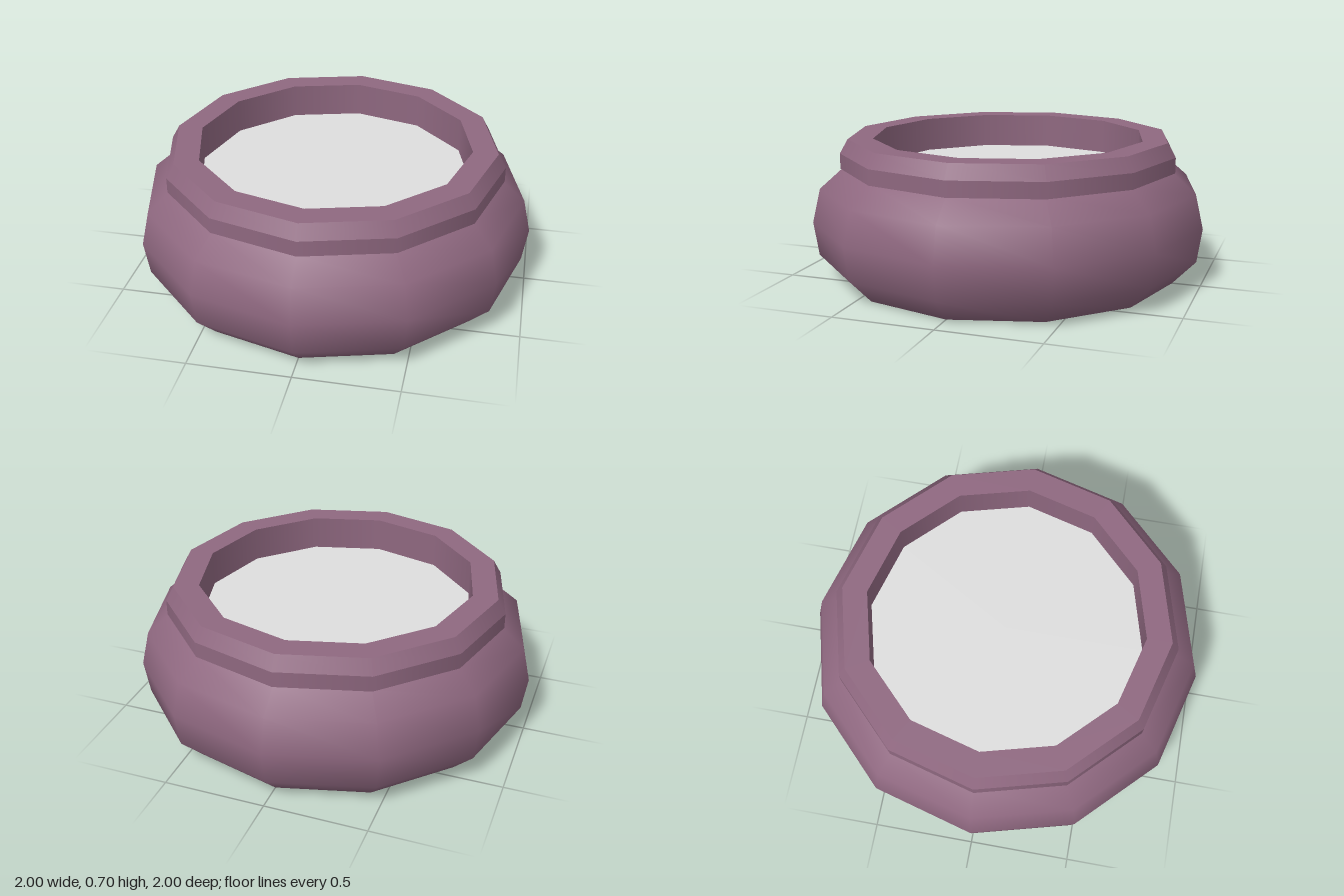
import * as THREE from 'three';

const SIDES = 12;

export function createModel() {
  const model = new THREE.Group();
  const plum = new THREE.MeshStandardMaterial({ color: 0x8f6880 });
  plum.name = 'plum';
  const paleGrey = new THREE.MeshStandardMaterial({ color: 0xdedede });
  paleGrey.name = 'pale grey';

  // One lathed surface, smooth along its whole profile of [radius, height]
  const turn = (name, material, profile, parent = model) => {
    const points = profile.map(([r, y]) => new THREE.Vector2(r, y));
    const mesh = new THREE.Mesh(new THREE.LatheGeometry(points, SIDES), material);
    mesh.name = name;
    parent.add(mesh);
  };

  // Rounded bowl with its closed base
  turn('bowl', plum, [[0, 0], [0.86, 0], [0.975, 0.12], [1, 0.29], [0.96, 0.46], [0.845, 0.56]]);

  // Collar: separate bands keep the edges between them sharp
  const collar = new THREE.Group();
  collar.name = 'collar';
  model.add(collar);
  const loop = [[0.83, 0.558], [0.855, 0.558], [0.855, 0.635], [0.815, 0.705], [0.69, 0.705], [0.69, 0.53]];
  const bands = ['collarUnderside', 'collarWall', 'collarBevel', 'collarTop', 'innerWall'];
  bands.forEach((name, i) => turn(name, plum, [loop[i], loop[i + 1]], collar));

  // Flat fill inside the collar
  turn('fill', paleGrey, [[0.69, 0.53], [0, 0.53]]);

  return model;
}
